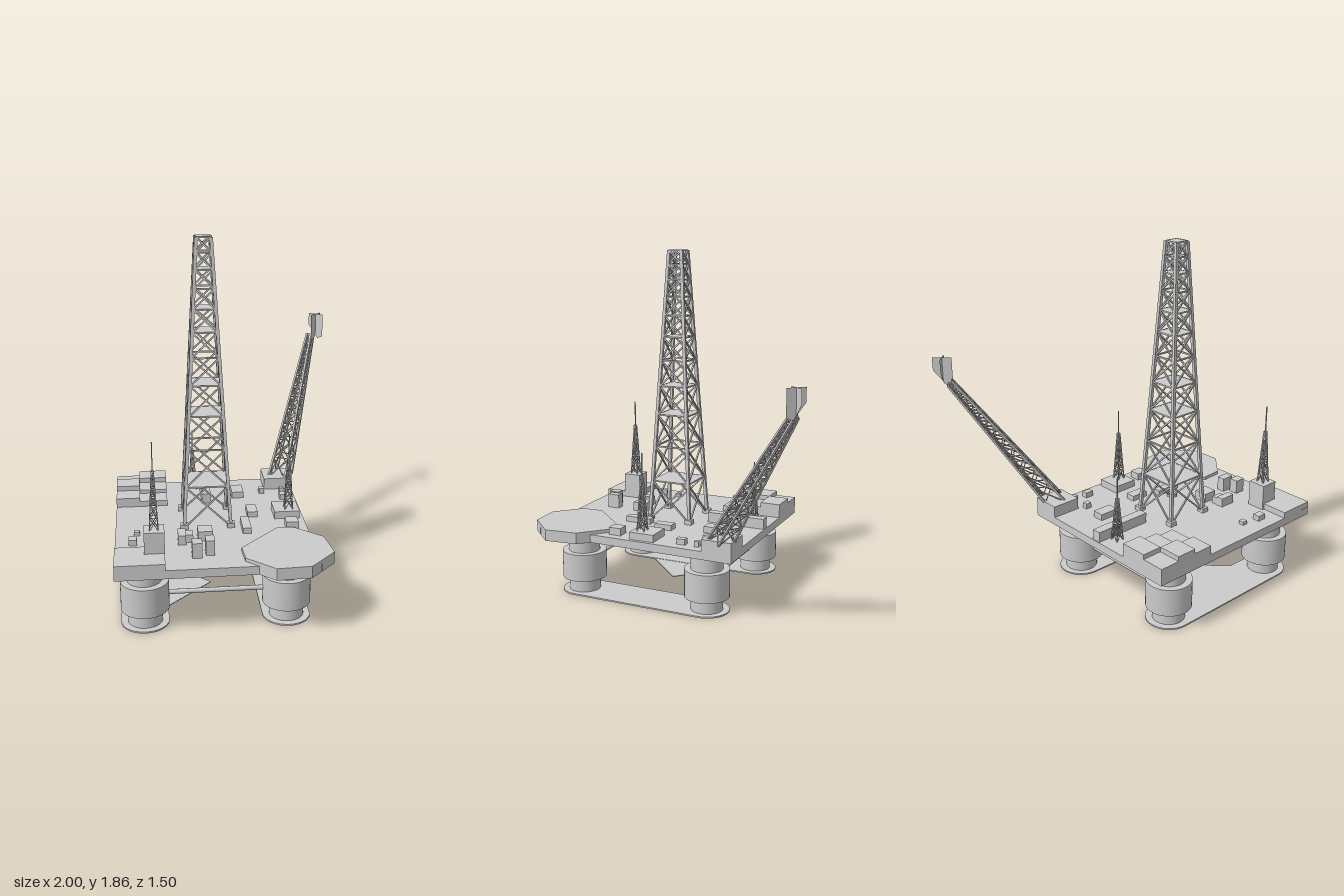
import * as THREE from 'three';
import { mergeGeometries } from 'three/addons/utils/BufferGeometryUtils.js';

const grey = new THREE.MeshStandardMaterial({ color: 0xcccccc });
const greyThin = new THREE.MeshStandardMaterial({ color: 0xcccccc, side: THREE.DoubleSide });
const V = (x, y, z) => new THREE.Vector3(x, y, z);
const UP = V(0, 1, 0);
const DECK_TOP = 0.37, DECK_BOTTOM = 0.326;

function add(parent, name, geometry, material = grey) {
  const mesh = new THREE.Mesh(geometry, material);
  mesh.name = name;
  parent.add(mesh);
  return mesh;
}

// Box from centre (x, z), size (w, d) and vertical range
function block(x, z, w, d, y0, y1) {
  return new THREE.BoxGeometry(w, y1 - y0, d).translate(x, (y0 + y1) / 2, z);
}

// Square bar from a to b
function bar(a, b, t) {
  const dir = b.clone().sub(a);
  const g = new THREE.BoxGeometry(t, dir.length(), t);
  g.applyQuaternion(new THREE.Quaternion().setFromUnitVectors(UP, dir.normalize()));
  const m = a.clone().add(b).multiplyScalar(0.5);
  return g.translate(m.x, m.y, m.z);
}

// Four-legged lattice between two quads, with panels shrinking by a ratio
function lattice(bottom, top, panels, ratio, legT, braceT) {
  const parts = [], rings = [];
  const total = 1 - Math.pow(ratio, panels);
  for (let i = 0; i <= panels; i++) {
    const t = (1 - Math.pow(ratio, i)) / total;
    rings.push(bottom.map((p, k) => p.clone().lerp(top[k], t)));
  }
  for (let k = 0; k < 4; k++) {
    const n = (k + 1) % 4;
    parts.push(bar(bottom[k], top[k], legT));
    for (let i = 0; i < panels; i++) {
      parts.push(bar(rings[i][k], rings[i + 1][n], braceT));
      parts.push(bar(rings[i][n], rings[i + 1][k], braceT));
      parts.push(bar(rings[i + 1][k], rings[i + 1][n], braceT));
    }
  }
  return { geometry: mergeGeometries(parts), rings };
}

function square(x, y, z, h) {
  return [V(x - h, y, z - h), V(x + h, y, z - h), V(x + h, y, z + h), V(x - h, y, z + h)];
}

// Horizontal plate extruded upward from an outline given in (x, z)
function plate(points, y, depth) {
  const shape = new THREE.Shape(points.map(([x, z]) => new THREE.Vector2(x, -z)));
  return new THREE.ExtrudeGeometry(shape, { depth, bevelEnabled: false }).rotateX(-Math.PI / 2).translate(0, y, 0);
}

export function createModel() {
  const model = new THREE.Group();
  model.name = 'offshorePlatform';

  // Everything square to the deck lives in this turned group
  const rig = new THREE.Group();
  rig.name = 'rig';
  rig.position.set(-0.247, 0, -0.005);
  rig.rotation.y = 0.757;
  model.add(rig);

  add(rig, 'deck', block(0, 0, 1.128, 0.995, DECK_BOTTOM, DECK_TOP));

  // Columns with a wider drum
  const a = 0.372, b = 0.355;
  for (const sx of [-1, 1]) {
    for (const sz of [-1, 1]) {
      const profile = [[0, 0], [0.086, 0], [0.086, 0.08], [0.121, 0.08], [0.121, 0.232], [0.086, 0.232], [0.086, 0.328]];
      const bands = [];
      for (let i = 0; i < profile.length - 1; i++) {
        const pair = [profile[i], profile[i + 1]].map(p => new THREE.Vector2(...p));
        bands.push(new THREE.LatheGeometry(pair, 36));
      }
      add(rig, 'column', mergeGeometries(bands)).position.set(sx * a, 0, sz * b);
    }
    // Brace between the columns of one end
    const brace = new THREE.CylinderGeometry(0.012, 0.012, 2 * b - 0.2, 12).rotateX(Math.PI / 2);
    add(rig, 'columnBrace', brace).position.set(sx * a, 0.157, 0);
  }

  // Round-ended pontoon plates
  for (const sz of [-1, 1]) {
    const outline = [];
    for (let i = 0; i <= 32; i++) {
      const end = i <= 16 ? 1 : -1;
      const ang = -Math.PI / 2 + Math.PI * (i <= 16 ? i : i - 1) / 16 + (i > 16 ? Math.PI / 16 : 0);
      outline.push([end * a + 0.121 * Math.cos(ang), sz * b + 0.121 * Math.sin(ang)]);
    }
    add(rig, 'pontoon', plate(outline.reverse(), 0, 0.008));
  }
  add(rig, 'basePlate', plate([[-0.36, -b], [0, 0], [0.36, -b]], 0.002, 0.004), greyThin);

  // Raised corners of the deck
  add(rig, 'leftCornerBlock', block(-0.462, -0.375, 0.204, 0.244, DECK_BOTTOM, 0.403));
  add(rig, 'mastHouse', block(-0.397, -0.302, 0.1, 0.1, DECK_TOP, 0.512));
  add(rig, 'rightCornerBlock', block(0.482, 0.419, 0.164, 0.157, DECK_BOTTOM, 0.434));

  // Cabins on the back corner, in a grid
  const us = [0.22, 0.335, 0.45, 0.564], vs = [-0.4975, -0.37, -0.22];
  const tops = [[0.42, 0.4], [0.446, 0.42], [0.42, 0.446]];
  tops.forEach((row, i) => row.forEach((top, j) => {
    const w = us[i + 1] - us[i], d = vs[j + 1] - vs[j];
    add(rig, 'cabin', block(us[i] + w / 2, vs[j] + d / 2, w, d, DECK_BOTTOM, top));
  }));

  // Equipment boxes: x, z, width, depth, top
  [
    [0.394, -0.004, 0.33, 0.05, 0.426], [0.342, 0.176, 0.11, 0.065, 0.405],
    [0.064, 0.229, 0.1, 0.055, 0.4], [-0.116, 0.177, 0.15, 0.045, 0.4],
    [-0.126, 0.417, 0.07, 0.065, 0.41], [0.354, 0.319, 0.035, 0.03, 0.4],
    [0.26, 0.427, 0.05, 0.035, 0.4], [0.35, 0.433, 0.025, 0.025, 0.4],
    [-0.253, -0.408, 0.05, 0.04, 0.4], [-0.146, -0.388, 0.03, 0.03, 0.39],
    [-0.249, -0.162, 0.09, 0.04, 0.42], [-0.235, -0.125, 0.06, 0.04, 0.41],
    [-0.215, -0.043, 0.08, 0.075, 0.42],
    [-0.42, -0.095, 0.06, 0.05, 0.448], [-0.39, -0.03, 0.07, 0.045, 0.448],
    [0.048, 0.41, 0.14, 0.135, 0.41],
  ].forEach(([x, z, w, d, top]) => add(rig, 'equipmentBox', block(x, z, w, d, DECK_TOP, top)));

  // Derrick with working floors and feet
  const dx = 0.03, dz = -0.02;
  const tower = lattice(square(dx, DECK_TOP, dz, 0.122), square(dx, 1.86, dz, 0.037), 11, 0.897, 0.017, 0.008);
  add(rig, 'derrick', tower.geometry);
  for (const i of [1, 3, 4, 6, 7, 9, 11]) {
    const p = tower.rings[i][0], s = 2 * (dx - p.x);
    add(rig, 'derrickFloor', block(dx, dz, s, s, p.y - 0.003, p.y + 0.003));
  }
  tower.rings[0].forEach(p => add(rig, 'derrickFoot', block(p.x, p.z, 0.04, 0.04, DECK_TOP, 0.395)));

  // Antenna masts: x, z, base height, tip height
  [[-0.397, -0.302, 0.51, 0.955], [0.028, 0.423, 0.41, 0.828], [0.468, -0.066, 0.37, 0.718]].forEach(([x, z, y0, y1]) => {
    const neck = y0 + (y1 - y0) * 0.68;
    const mast = lattice(square(x, y0, z, 0.021), square(x, neck, z, 0.005), 7, 0.87, 0.005, 0.003);
    const spike = bar(V(x, neck - 0.01, z), V(x, y1, z), 0.005);
    add(rig, 'antennaMast', mergeGeometries([mast.geometry, spike]));
  });

  // Eight-sided landing pad
  const pad = [[-0.444, 0.355], [-0.144, 0.355], [-0.086, 0.42], [-0.086, 0.605], [-0.203, 0.743], [-0.4, 0.743], [-0.524, 0.625], [-0.524, 0.44]];
  add(model, 'landingPad', plate(pad.reverse(), DECK_BOTTOM, 0.062));

  // Leaning boom with crossed fins at its tip
  const foot = [V(0.345, 0.42, -0.05), V(0.375, 0.42, 0.045), V(0.475, 0.42, 0.025), V(0.455, 0.42, -0.07)];
  const tip = [V(0.9, 1.16, -0.165), V(0.905, 1.16, -0.14), V(0.928, 1.135, -0.14), V(0.923, 1.135, -0.165)];
  add(model, 'boom', lattice(foot, tip, 13, 0.9, 0.011, 0.005).geometry);
  const fin = new THREE.Shape([[-0.05, 0.07], [-0.05, -0.065], [-0.015, -0.078], [0.05, 0], [0.05, 0.07]].map(p => new THREE.Vector2(...p)));
  const fins = new THREE.Group();
  fins.name = 'boomFins';
  fins.position.set(0.95, 1.208, -0.138);
  for (const turn of [0, Math.PI / 2]) {
    add(fins, 'fin', new THREE.ShapeGeometry(fin), greyThin).rotation.y = turn;
  }
  model.add(fins);

  return model;
}
